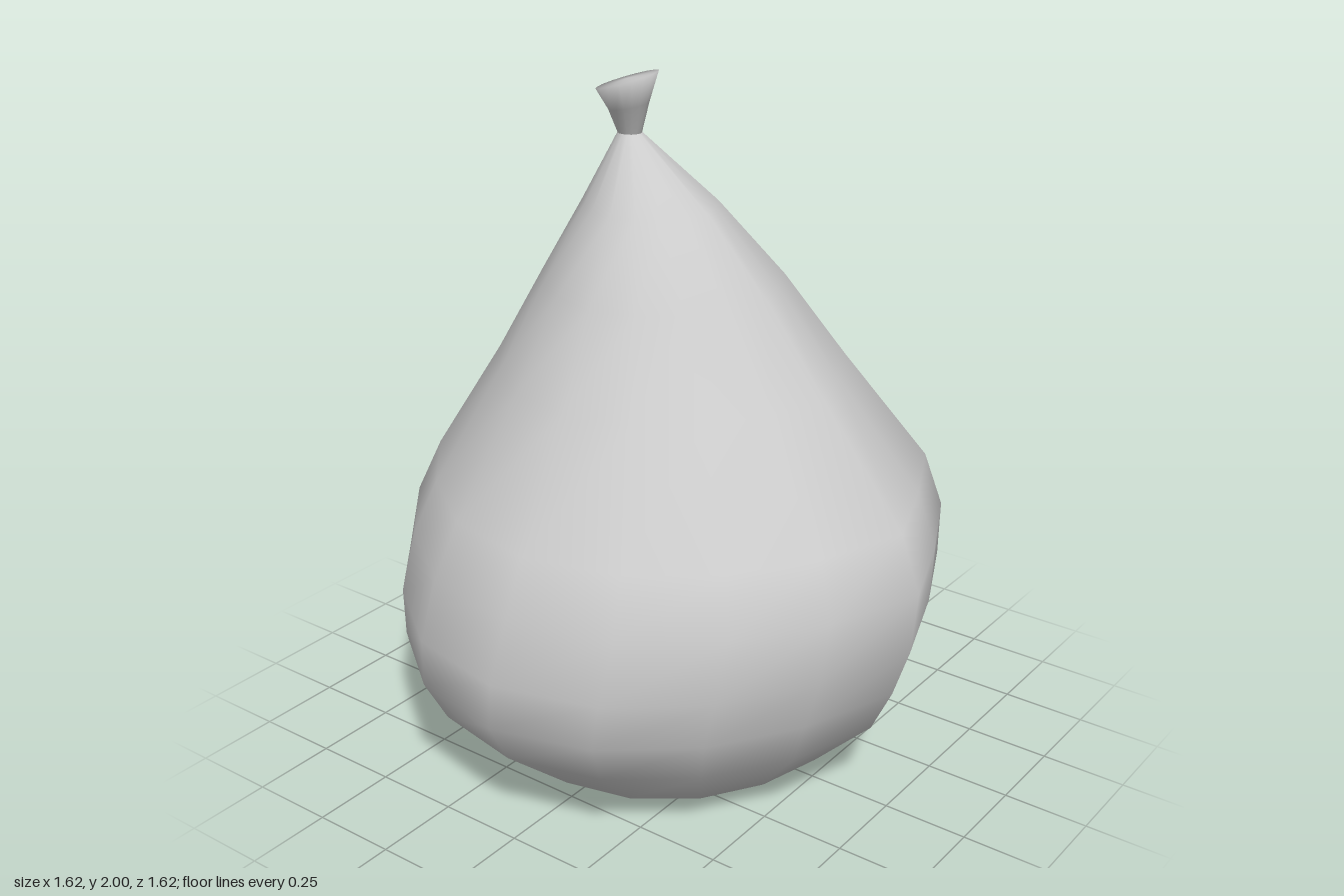
import * as THREE from 'three';
import { mergeVertices } from 'three/addons/utils/BufferGeometryUtils.js';

const SIDES = 16;
// Bulges and hollows around the sack, from +x turning toward +z
const FOLDS = [1, 0.92, 1, 0.94, 1, 0.94, 0.94, 0.97, 1, 1, 0.985, 1.03, 1, 1.02, 0.96, 0.975];

// Smooth skin through rings of [y, xMin, xMax, zMin, zMax, fold = 0, tiltX = 0, tiltZ = 0]
function skin(name, rings, material) {
  const positions = [];
  const index = [];
  rings.forEach(([y, x0, x1, z0, z1, fold = 0, tiltX = 0, tiltZ = 0], r) => {
    for (let i = 0; i < SIDES; i++) {
      const a = (i / SIDES) * Math.PI * 2;
      const c = Math.cos(a), s = Math.sin(a);
      const f = 1 + (FOLDS[i] - 1) * fold;
      positions.push(
        (x0 + x1) / 2 + ((x1 - x0) / 2) * c * f,
        y + tiltX * c + tiltZ * s,
        (z0 + z1) / 2 + ((z1 - z0) / 2) * s * f
      );
      if (r < rings.length - 1) {
        const p = r * SIDES + i;
        const q = r * SIDES + ((i + 1) % SIDES);
        index.push(p, p + SIDES, q, q, p + SIDES, q + SIDES);
      }
    }
  });
  let geometry = new THREE.BufferGeometry();
  geometry.setAttribute('position', new THREE.Float32BufferAttribute(positions, 3));
  geometry.setIndex(index);
  geometry = mergeVertices(geometry, 1e-4); // weld the end points
  geometry.computeVertexNormals();
  const mesh = new THREE.Mesh(geometry, material);
  mesh.name = name;
  return mesh;
}

export function createModel() {
  const group = new THREE.Group();
  group.name = 'tiedSack';
  const cloth = new THREE.MeshStandardMaterial({ color: 0xcccccc, side: THREE.DoubleSide });

  // Sagging body, leaning back toward the neck
  group.add(skin('sackBody', [
    [0, 0, 0, 0, 0],
    [0.05, -0.5, 0.52, -0.53, 0.5, 0.5, 0.01, 0],
    [0.24, -0.73, 0.72, -0.75, 0.69, 0.8],
    [0.37, -0.8, 0.8, -0.81, 0.75, 1],
    [0.52, -0.815, 0.81, -0.81, 0.8, 1],
    [0.7, -0.77, 0.77, -0.78, 0.815, 1],
    [0.86, -0.7, 0.72, -0.71, 0.75, 1],
    [1.17, -0.46, 0.52, -0.54, 0.48, 1],
    [1.42, -0.32, 0.35, -0.4, 0.3, 1],
    [1.63, -0.17, 0.2, -0.29, 0.1, 1],
    [1.82, -0.02, 0.045, -0.2, -0.13]
  ], cloth));

  // Flared end above the tie, with a tilted closed top
  group.add(skin('tiedEnd', [
    [1.82, -0.02, 0.045, -0.2, -0.13],
    [1.9, -0.06, 0.05, -0.212, -0.095, 0, 0.005, 0.01],
    [1.975, -0.11, 0.06, -0.23, -0.055, 0, 0.008, 0.025],
    [1.977, -0.025, -0.025, -0.145, -0.145]
  ], cloth));

  return group;
}
